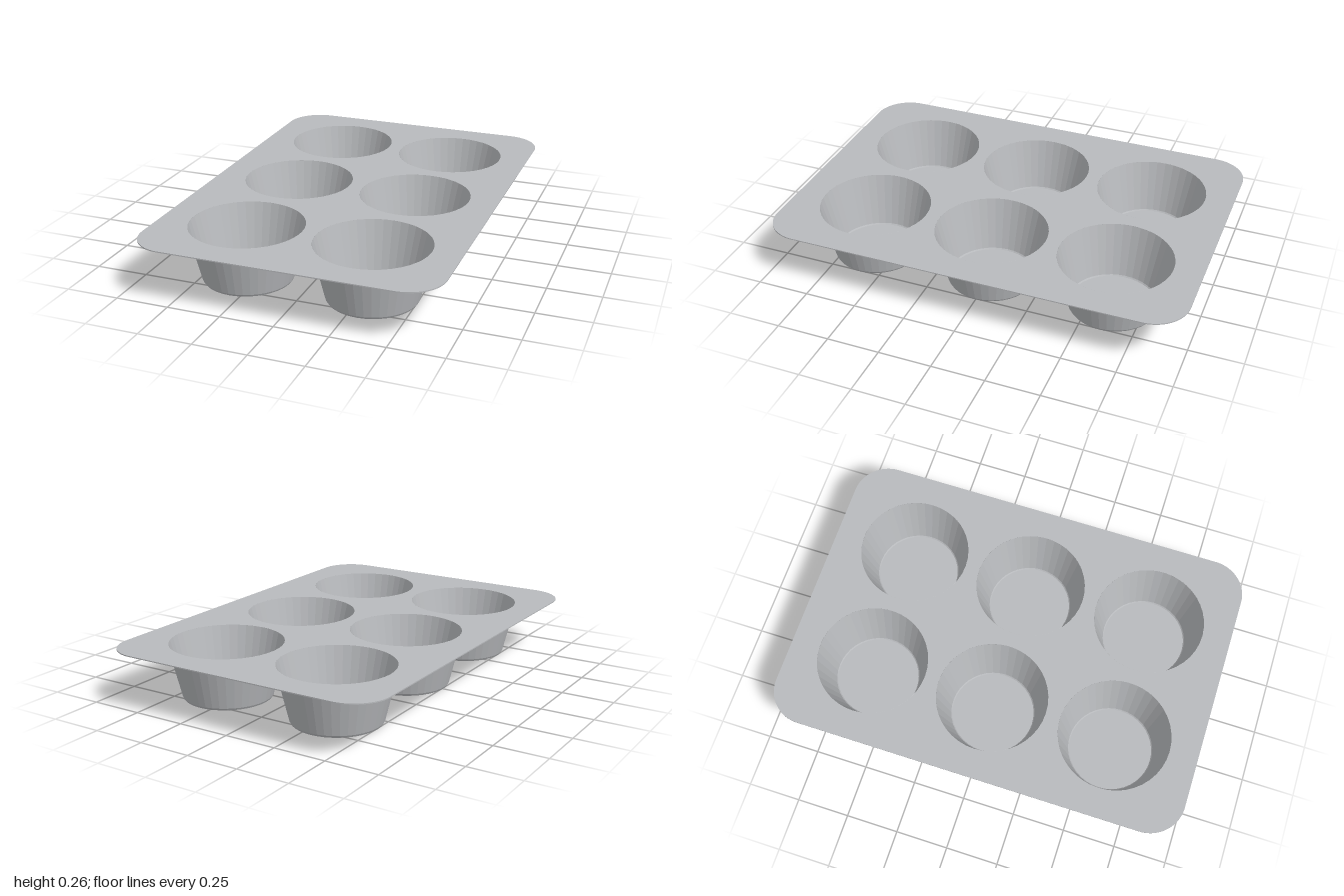
import * as THREE from 'three';

const HEIGHT = 0.26, SHEET = 0.005, SIDES = 40;
const CUP_TOP = 0.265, CUP_BASE = 0.205;
const CUP_X = [-0.3, 0.3], CUP_Z = [-0.6, 0, 0.6];

// Flat rounded tray sheet with a round opening for every cup
function trayGeometry() {
  const w = 0.7, d = 1, r = 0.17;
  const shape = new THREE.Shape();
  shape.absarc(w - r, d - r, r, 0, Math.PI / 2);
  shape.absarc(-w + r, d - r, r, Math.PI / 2, Math.PI);
  shape.absarc(-w + r, -d + r, r, Math.PI, Math.PI * 1.5);
  shape.absarc(w - r, -d + r, r, Math.PI * 1.5, Math.PI * 2);
  shape.closePath();
  for (const x of CUP_X) for (const z of CUP_Z) {
    shape.holes.push(new THREE.Path().absarc(x, -z, CUP_TOP, 0, Math.PI * 2, true));
  }
  const geo = new THREE.ExtrudeGeometry(shape, { depth: SHEET, bevelEnabled: false, curveSegments: SIDES });
  return geo.rotateX(-Math.PI / 2).translate(0, HEIGHT - SHEET, 0);
}

// Thin-walled tapered cup: underside, outer wall, then inner wall and floor
function cupGeometry() {
  const profile = [
    [0, 0], [CUP_BASE, 0], [CUP_BASE + 0.006, 0.01],
    [CUP_TOP + 0.005, HEIGHT - SHEET], [CUP_TOP, HEIGHT],
    [CUP_BASE, SHEET + 0.006], [CUP_BASE - 0.005, SHEET], [0, SHEET],
  ].map(([x, y]) => new THREE.Vector2(x, y));
  return new THREE.LatheGeometry(profile, SIDES);
}

export function createModel() {
  const group = new THREE.Group();
  group.name = 'muffinTin';
  const metal = new THREE.MeshStandardMaterial({ color: 0xb8babd, flatShading: true });
  metal.name = 'greyMetal';

  const tray = new THREE.Mesh(trayGeometry(), metal);
  tray.name = 'tray';
  group.add(tray);

  // Two columns of three cups
  const cupGeo = cupGeometry();
  for (const x of CUP_X) for (const z of CUP_Z) {
    const cup = new THREE.Mesh(cupGeo, metal);
    cup.name = 'cup';
    cup.position.set(x, 0, z);
    group.add(cup);
  }
  return group;
}
